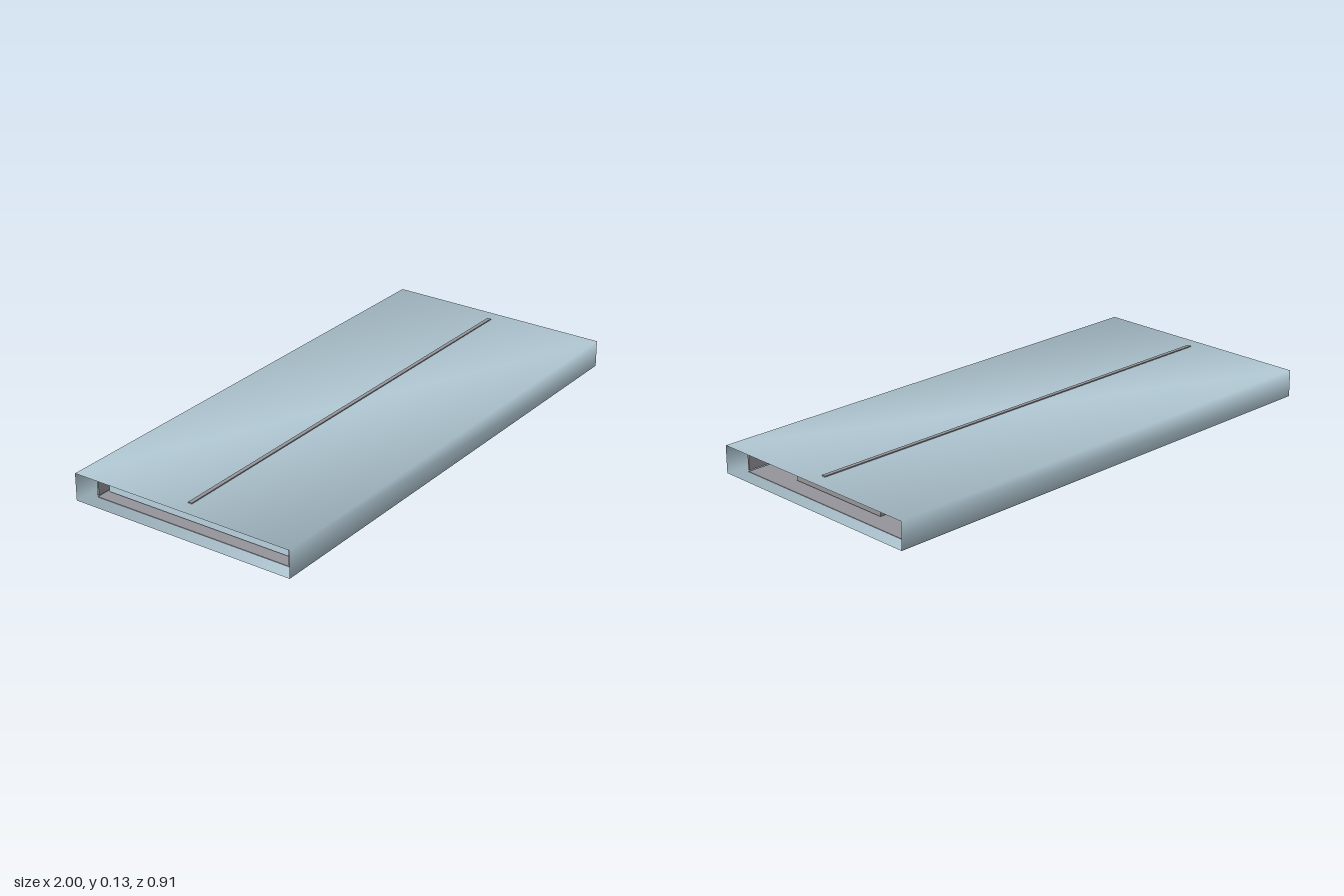
import * as THREE from 'three';

export function createModel() {
  const model = new THREE.Group();
  model.name = 'flatDevice';
  const paleBlue = new THREE.MeshStandardMaterial({ color: 0xb8d0dc, side: THREE.DoubleSide });
  paleBlue.name = 'paleBlue';
  const grey = new THREE.MeshStandardMaterial({ color: 0x94949a });
  grey.name = 'grey';

  const add = (name, geometry, material, x = 0, y = 0, z = 0) => {
    const mesh = new THREE.Mesh(geometry, material);
    mesh.name = name;
    mesh.position.set(x, y, z);
    model.add(mesh);
    return mesh;
  };
  // Box given by its ranges on each axis
  const box = (name, material, [x0, x1], [y0, y1], [z0, z1]) =>
    add(name, new THREE.BoxGeometry(x1 - x0, y1 - y0, z1 - z0), material,
      (x0 + x1) / 2, (y0 + y1) / 2, (z0 + z1) / 2);

  // Thin rectangular sleeve, open at both ends, with soft blended corner normals
  const corners = [[0.13, 0.457], [0.13, -0.457], [0.025, -0.457], [0.025, 0.457]];
  const sideNormals = [[1, 0], [0, -1], [-1, 0], [0, 1]];
  const positions = [], normals = [], index = [];
  corners.forEach(([y, z], i) => {
    const next = sideNormals[i], prev = sideNormals[(i + 3) % 4];
    [[-1, 2, 1], [1, 1, 2]].forEach(([x, p, n]) => {
      positions.push(x, y, z);
      const v = new THREE.Vector3(0, prev[0] * p + next[0] * n, prev[1] * p + next[1] * n).normalize();
      normals.push(v.x, v.y, v.z);
    });
    const a = 2 * i, b = a + 1, c = (a + 2) % 8, d = c + 1;
    index.push(a, b, c, b, d, c);
  });
  const sleeve = new THREE.BufferGeometry();
  sleeve.setAttribute('position', new THREE.Float32BufferAttribute(positions, 3));
  sleeve.setAttribute('normal', new THREE.Float32BufferAttribute(normals, 3));
  sleeve.setIndex(index);
  add('outerSleeve', sleeve, paleBlue);

  // Ridge on top, base plate and its long side rails
  const span = [-0.94, 0.94];
  box('topRidge', grey, span, [0.128, 0.134], [-0.008, 0.008]);
  box('basePlate', grey, span, [0.019, 0.027], [-0.413, 0.413]);
  for (const s of [-1, 1]) {
    add('baseRail', new THREE.BoxGeometry(1.88, 0.012, 0.012), grey, 0, 0.019, s * 0.422);
    // Downturned edges of the inner cover
    add('coverEdge', new THREE.BoxGeometry(1.88, 0.08, 0.007), grey, 0, 0.073, s * 0.411);
    // Board supports, battery feet and side buttons
    add('boardSupport', new THREE.BoxGeometry(0.02, 0.012, 0.005), grey, 0.6, 0.105, s * 0.265);
    add('batteryFoot', new THREE.BoxGeometry(0.06, 0.008, 0.06), grey, 0.3, 0.031, s * 0.345);
    const button = add('sideButton', new THREE.CylinderGeometry(0.011, 0.011, 0.008, 16), grey, 0.2, 0.058, s * 0.398);
    button.rotation.x = Math.PI / 2;
  }
  box('innerCover', grey, span, [0.11, 0.127], [-0.413, 0.413]);

  // Circuit board, its centre support and hanging connector
  box('circuitBoard', grey, [-0.88, 0.88], [0.093, 0.099], [-0.357, 0.357]);
  box('centreSupport', grey, [0.59, 0.61], [0.099, 0.11], [-0.005, 0.005]);
  box('connector', grey, [0.5, 0.56], [0.07, 0.094], [-0.091, -0.079]);

  // Blue battery block and the grey module in front of it
  box('batteryBlock', paleBlue, [-0.9, 0.4], [0.035, 0.075], [-0.395, 0.395]);
  box('frontModule', grey, [0.6, 0.88], [0.033, 0.061], [-0.218, 0.218]);

  // Ball that pokes through the base, with small holders
  add('ball', new THREE.SphereGeometry(0.051, 24, 16), paleBlue, 0.49, 0.055, 0.115);
  for (const s of [-1, 1])
    add('ballHolder', new THREE.BoxGeometry(0.02, 0.01, 0.014), grey, 0.49, 0.081, 0.115 + s * 0.047);

  // Latch below the base
  box('latchPlate', grey, [-0.475, -0.435], [0.032, 0.038], [-0.395, -0.335]);
  box('latchArm', grey, [-0.47, -0.44], [0.014, 0.02], [-0.37, -0.333]);
  box('latchPin', grey, [-0.463, -0.447], [0, 0.02], [-0.37, -0.36]);

  // Tiny pads under the centre line
  for (const x of [-0.37, 0.1])
    add('basePad', new THREE.CylinderGeometry(0.01, 0.01, 0.004, 12), grey, x, 0.019, 0);

  return model;
}
